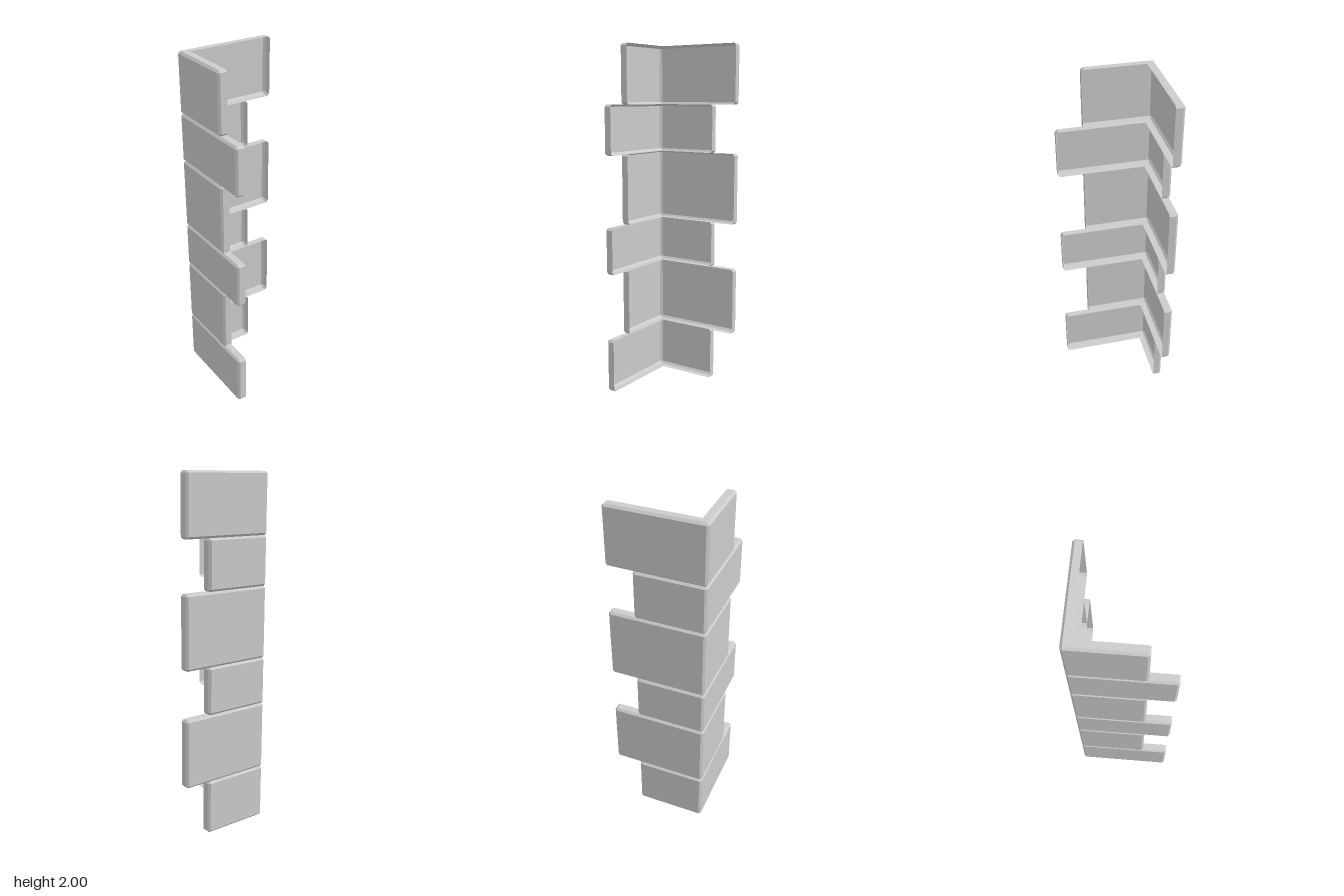
import * as THREE from 'three';

const OUT = -0.275, IN = -0.225, BEVEL = 0.012;
const LONG = 0.275, SHORT = 0.125;

const material = new THREE.MeshStandardMaterial({
  color: 0xcccccc, flatShading: true, side: THREE.DoubleSide,
});

// L-shaped outer outline in plan, pulled in by d, from the x end round the corner to the z end
function outline(endX, endZ, d) {
  const b = BEVEL;
  return [
    [endX - d, IN], [endX - d, OUT + b], [endX - b, OUT + d], [OUT + b, OUT + d],
    [OUT + d, OUT + b], [OUT + d, endZ - b], [OUT + b, endZ - d], [IN, endZ - d],
  ];
}

// Wall-side edge with the same number of points as the outline
function innerEdge(endX, endZ) {
  const a = [endX - BEVEL, IN], c = [IN, IN], e = [IN, endZ - BEVEL];
  return [a, a, a, c, c, e, e, e];
}

// Bevelled corner stone shell, open on the side that meets the wall
function stoneGeometry(endX, endZ, y0, y1) {
  const inner = innerEdge(endX, endZ);
  const inset = outline(endX, endZ, BEVEL);
  const full = outline(endX, endZ, 0);
  const rings = [
    [inner, y0], [inset, y0], [full, y0 + BEVEL],
    [full, y1 - BEVEL], [inset, y1], [inner, y1],
  ].map(([pts, y]) => pts.map(([x, z]) => new THREE.Vector3(x, y, z)));

  const verts = [];
  const triangle = (a, b, c) => {
    if (new THREE.Triangle(a, b, c).getArea() < 1e-9) return;
    for (const p of [a, b, c]) verts.push(p.x, p.y, p.z);
  };
  for (let k = 0; k < rings.length - 1; k++) {
    const low = rings[k], high = rings[k + 1];
    for (let j = 0; j < low.length - 1; j++) {
      triangle(low[j], low[j + 1], high[j + 1]);
      triangle(low[j], high[j + 1], high[j]);
    }
  }
  const geometry = new THREE.BufferGeometry();
  geometry.setAttribute('position', new THREE.Float32BufferAttribute(verts, 3));
  geometry.computeVertexNormals();
  return geometry;
}

export function createModel() {
  const model = new THREE.Group();
  model.name = 'cornerStones';

  // Stacked stones, with the long arm alternating between the two walls
  const joints = [0, 0.31, 0.7, 0.97, 1.38, 1.66, 2];
  for (let i = 0; i < joints.length - 1; i++) {
    const longZ = i % 2 === 0;
    const stone = new THREE.Mesh(
      stoneGeometry(longZ ? SHORT : LONG, longZ ? LONG : SHORT, joints[i], joints[i + 1]),
      material,
    );
    stone.name = `cornerStone${i + 1}`;
    model.add(stone);
  }
  return model;
}
